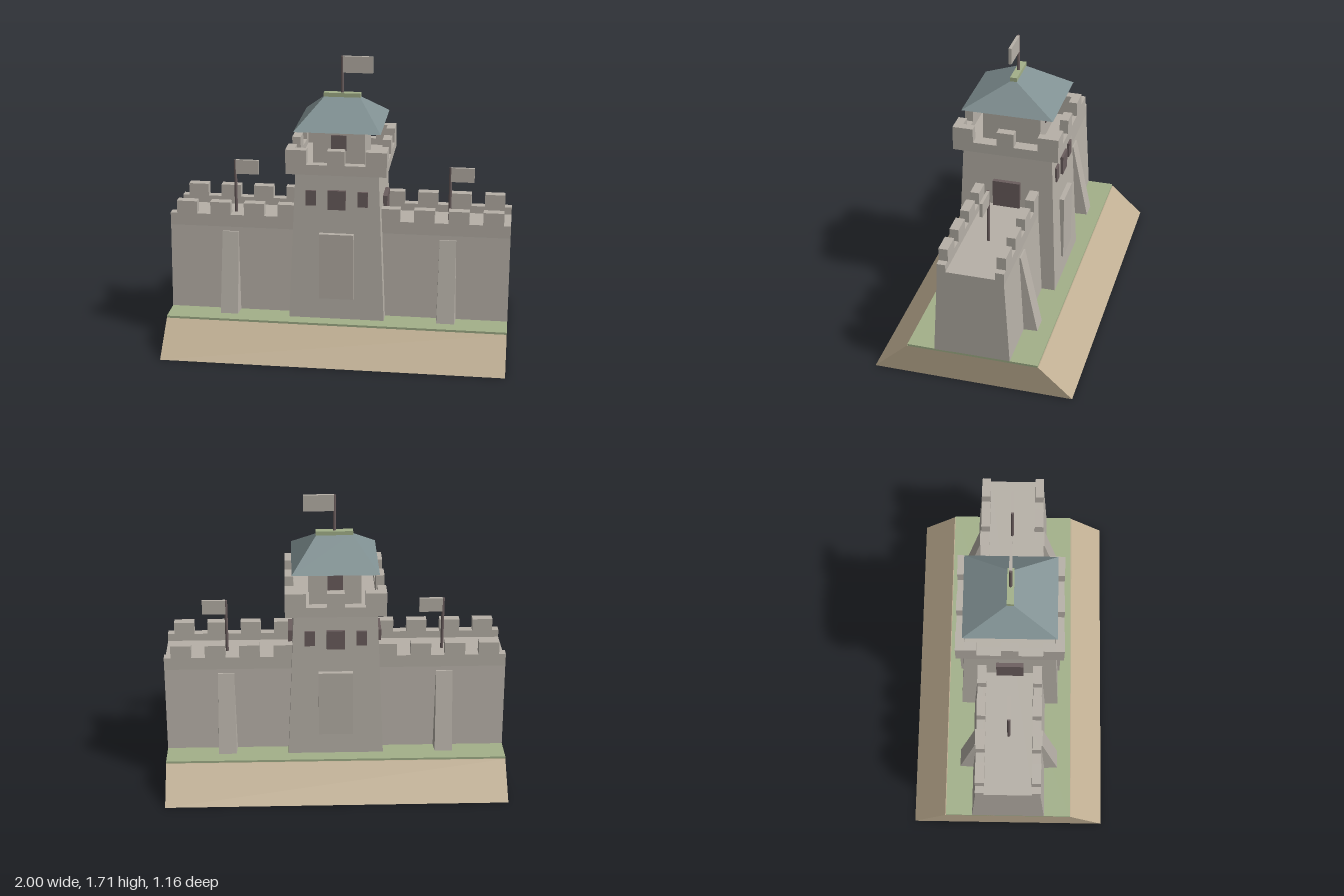
import * as THREE from 'three';

const mat = (name, color) => Object.assign(new THREE.MeshStandardMaterial({ color }), { name });

// Rectangle corners [x, z], ordered front-left, front-right, back-right, back-left
const rect = (hx, hz) => [[-hx, hz], [hx, hz], [hx, -hz], [-hx, -hz]];

// Solid between a lower and an upper four-sided cross-section, with flat faces
function loft(low, y0, high, y1) {
  const b = low.map(([x, z]) => [x, y0, z]);
  const t = high.map(([x, z]) => [x, y1, z]);
  const pos = [];
  const quad = (p, q, r, s) => pos.push(...p, ...q, ...r, ...p, ...r, ...s);
  for (let i = 0; i < 4; i++) {
    const j = (i + 1) % 4;
    quad(b[i], b[j], t[j], t[i]);
  }
  quad(t[0], t[1], t[2], t[3]);
  quad(b[3], b[2], b[1], b[0]);
  const g = new THREE.BufferGeometry();
  g.setAttribute('position', new THREE.Float32BufferAttribute(pos, 3));
  g.computeVertexNormals();
  return g;
}

export function createModel() {
  const stone = mat('stone', 0xb7b1a8);
  const earth = mat('earth', 0xbfae92);
  const grass = mat('grass', 0xa3b18a);
  const slate = mat('slate', 0x809092);
  const wood = mat('darkWood', 0x6b5e5e);

  const model = new THREE.Group();
  model.name = 'gateFortress';
  const add = (name, geometry, material, parent = model) => {
    const m = new THREE.Mesh(geometry, material);
    m.name = name;
    parent.add(m);
    return m;
  };
  // Box given by its extents
  const box = (name, material, x0, x1, y0, y1, z0, z1, parent) => {
    const m = add(name, new THREE.BoxGeometry(x1 - x0, y1 - y0, z1 - z0), material, parent);
    m.position.set((x0 + x1) / 2, (y0 + y1) / 2, (z0 + z1) / 2);
    return m;
  };

  // Earth bank and grass
  add('earthBank', loft(rect(1, 0.58), 0, rect(1, 0.385), 0.18), earth);
  box('grassTop', grass, -1, 1, 0.18, 0.193, -0.38, 0.38);

  // Long wall with a sunken walkway, extruded along x
  const half = [[0.22, 0.19], [0.19, 0.7], [0.19, 0.775], [0.14, 0.775], [0.14, 0.73]];
  const outline = [...half, ...half.map(([z, y]) => [-z, y]).reverse()];
  const wall = new THREE.ExtrudeGeometry(
    new THREE.Shape(outline.map(([z, y]) => new THREE.Vector2(z, y))),
    { depth: 2, bevelEnabled: false });
  wall.translate(0, 0, -1).rotateY(Math.PI / 2);
  add('curtainWall', wall, stone);

  // Tapered tower, parapet floor, upper room
  add('tower', loft(rect(0.28, 0.30), 0.19, rect(0.24, 0.262), 1.08), stone);
  box('parapetFloor', stone, -0.29, 0.29, 1.08, 1.1, -0.31, 0.31);
  box('upperRoom', stone, -0.15, 0.15, 1.1, 1.32, -0.17, 0.17);

  // Everything repeated on the front and the back
  for (const turn of [0, Math.PI]) {
    const face = new THREE.Group();
    face.name = turn ? 'backFace' : 'frontFace';
    face.rotation.y = turn;
    model.add(face);

    for (const s of [-1, 1]) {
      // Wall merlons
      for (const x of [0.3, 0.5, 0.7, 0.9])
        box('wallMerlon', stone, s * x - 0.06, s * x + 0.06, 0.775, 0.85, 0.137, 0.19, face);
      // Leaning buttress
      const buttress = loft(
        [[-0.052, 0.3], [0.052, 0.3], [0.058, 0.2], [-0.058, 0.2]], 0.19,
        [[-0.048, 0.2], [0.048, 0.2], [0.048, 0.17], [-0.048, 0.17]], 0.675);
      add('buttress', buttress, stone, face).position.x = s * 0.64;
      // Small side window and corner merlon
      box('sideWindow', wood, s * 0.15 - 0.03, s * 0.15 + 0.03, 0.885, 0.975, 0.24, 0.28, face);
      box('cornerMerlon', stone, s * 0.23 - 0.06, s * 0.23 + 0.06, 1.14, 1.225, 0.26, 0.31, face);
    }
    box('middleWindow', wood, -0.052, 0.052, 0.865, 0.98, 0.24, 0.285, face);
    box('roomWindow', wood, -0.045, 0.045, 1.19, 1.28, 0.15, 0.178, face);
    box('gatePanel', stone, -0.1, 0.1, 0.32, 0.72, 0.25, 0.306, face);
    box('parapetLong', stone, -0.29, 0.29, 1.1, 1.14, 0.26, 0.31, face);
    box('middleMerlon', stone, -0.05, 0.05, 1.14, 1.225, 0.26, 0.31, face);

    // Tower side facing along the wall: parapet, merlons and walkway door
    box('parapetSide', stone, 0.24, 0.29, 1.1, 1.14, -0.26, 0.26, face);
    box('sideMerlon', stone, 0.24, 0.29, 1.14, 1.225, -0.05, 0.05, face);
    for (const s of [-1, 1])
      box('cornerMerlonSide', stone, 0.24, 0.29, 1.14, 1.225, s * 0.225 - 0.035, s * 0.225 + 0.035, face);
    box('walkwayDoor', wood, 0.22, 0.274, 0.73, 0.893, -0.08, 0.08, face);
  }

  // Hipped roof with ridge cap
  add('roof', loft(rect(0.25, 0.268), 1.318, rect(0.1, 0.008), 1.47), slate);
  box('ridgeCap', grass, -0.108, 0.108, 1.465, 1.489, -0.02, 0.02);

  // Flags on poles
  const flag = (x, y0, y1, length, height) => {
    const g = new THREE.Group();
    g.name = 'flag';
    model.add(g);
    const pole = add('flagPole', new THREE.CylinderGeometry(0.009, 0.009, y1 - y0, 8), wood, g);
    pole.position.set(x, (y0 + y1) / 2, 0);
    box('flagCloth', stone, x + 0.003, x + length, y1 - height, y1 + 0.001, -0.0085, 0.0085, g);
  };
  flag(0, 1.48, 1.704, 0.178, 0.096);
  flag(-0.642, 0.73, 1.055, 0.14, 0.085);
  flag(0.638, 0.73, 1.055, 0.14, 0.085);

  return model;
}
